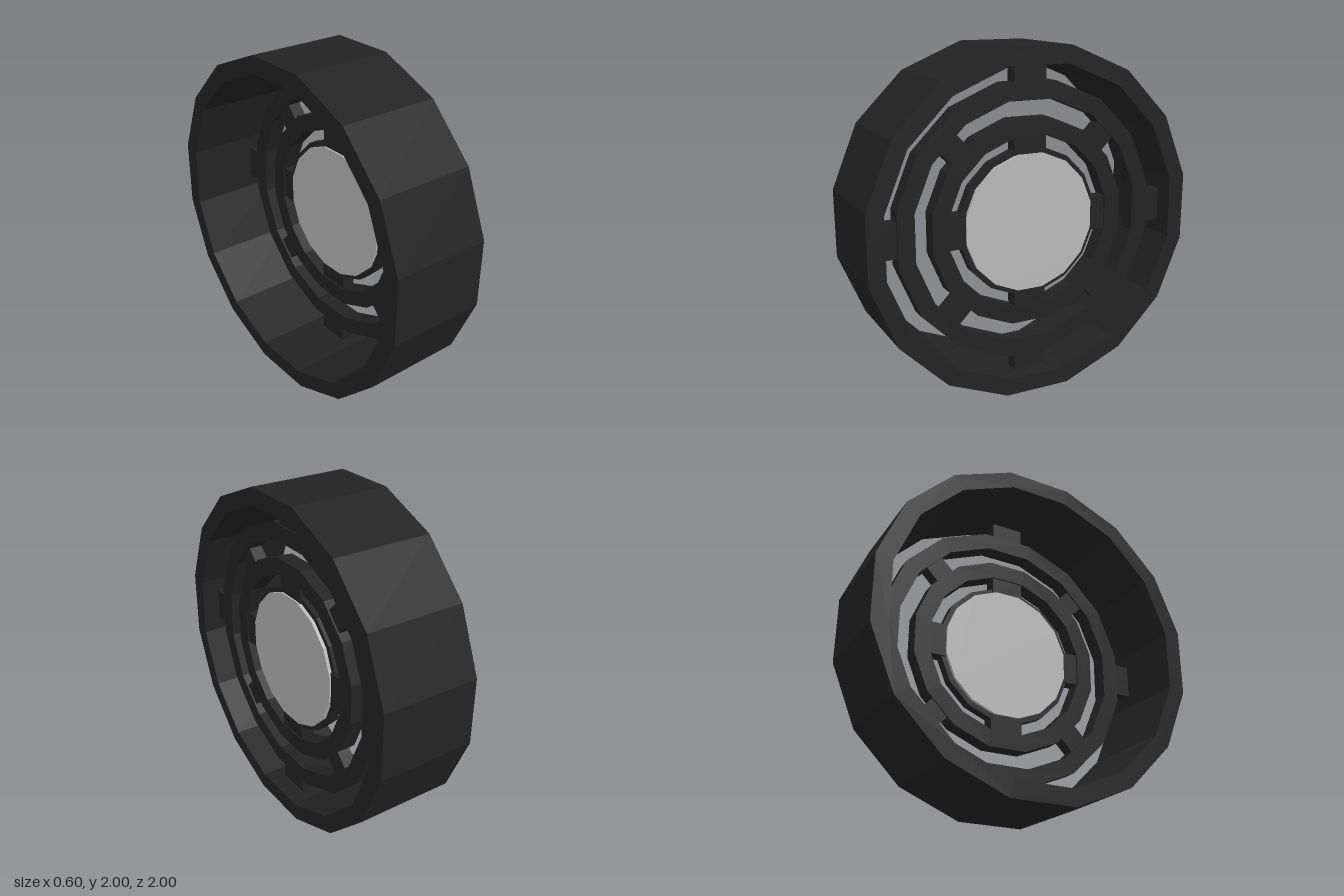
import * as THREE from 'three';

const SIDES = 16;

// Regular polygon outline with a given flat-to-centre distance, flats on the axes.
function polygon(path, apothem) {
  const r = apothem / Math.cos(Math.PI / SIDES);
  const pts = [];
  for (let i = 0; i < SIDES; i++) {
    const a = ((i + 0.5) / SIDES) * Math.PI * 2;
    pts.push(new THREE.Vector2(r * Math.cos(a), r * Math.sin(a)));
  }
  return path.setFromPoints(pts);
}

// Faceted slab along x, with an optional polygonal hole.
function slab(name, material, outer, inner, x0, x1) {
  const shape = polygon(new THREE.Shape(), outer);
  if (inner > 0) shape.holes.push(polygon(new THREE.Path(), inner));
  const geo = new THREE.ExtrudeGeometry(shape, { depth: x1 - x0, bevelEnabled: false });
  geo.rotateY(Math.PI / 2);
  const mesh = new THREE.Mesh(geo, material);
  mesh.name = name;
  mesh.position.x = x0;
  return mesh;
}

// Four blocks bridging two rings, starting at a given angle.
function spokes(name, material, from, to, width, startAngle) {
  const group = new THREE.Group();
  group.name = name;
  for (let i = 0; i < 4; i++) {
    const geo = new THREE.BoxGeometry(0.08, to - from, width);
    geo.translate(0.15, (from + to) / 2, 0);
    const mesh = new THREE.Mesh(geo, material);
    mesh.name = name.replace(/s$/, '');
    mesh.rotation.x = startAngle + (i * Math.PI) / 2;
    group.add(mesh);
  }
  return group;
}

export function createModel() {
  const rubber = new THREE.MeshStandardMaterial({ color: 0x232323 });
  rubber.name = 'dark rubber';
  const metal = new THREE.MeshStandardMaterial({ color: 0xb8b8b8 });
  metal.name = 'light metal';

  const wheel = new THREE.Group();
  wheel.name = 'wheel';

  // Wide tread and the concentric rings of the face
  wheel.add(
    slab('tread', rubber, 1.0, 0.9, -0.3, 0.3),
    slab('outerRing', rubber, 0.8, 0.7, 0.1, 0.2),
    slab('innerRing', rubber, 0.6, 0.5, 0.1, 0.2),
    slab('hubRing', rubber, 0.43, 0.39, 0.12, 0.18),
    slab('hubCap', metal, 0.4, 0, 0.1, 0.2)
  );

  // Connecting blocks, the middle set turned onto the diagonals
  wheel.add(
    spokes('outerSpokes', rubber, 0.79, 0.91, 0.2, 0),
    spokes('middleSpokes', rubber, 0.59, 0.71, 0.135, Math.PI / 4),
    spokes('innerSpokes', rubber, 0.395, 0.51, 0.2, 0)
  );

  wheel.position.y = 1;
  const model = new THREE.Group();
  model.name = 'model';
  model.add(wheel);
  return model;
}
